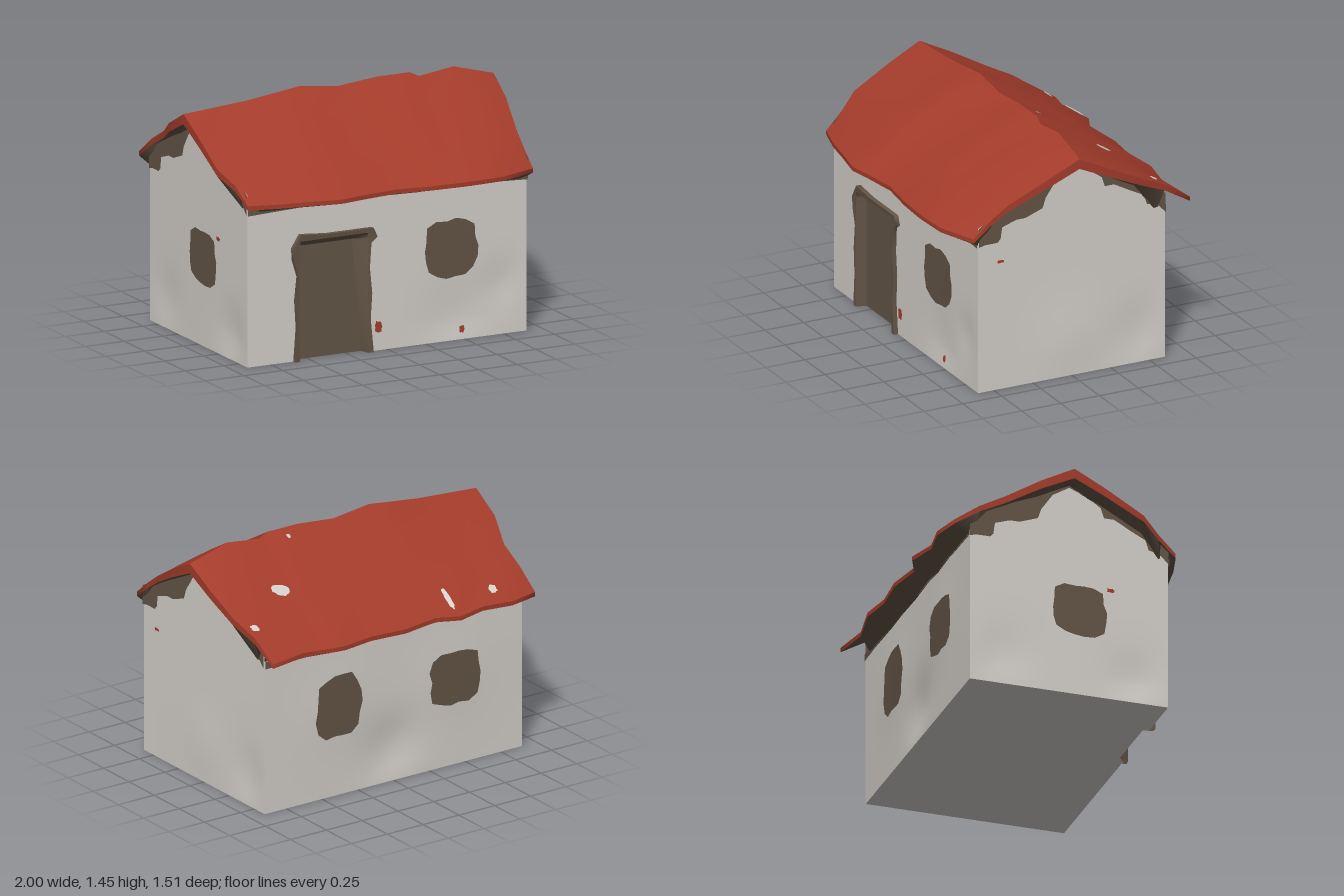
import * as THREE from 'three';

const mat = (name, color, side = THREE.FrontSide) => {
  const m = new THREE.MeshStandardMaterial({ color, side });
  m.name = name;
  return m;
};

// Smooth surface through a grid of points: grid[v][u], u to the right and v up as seen from outside
function patch(name, grid, material) {
  const nu = grid[0].length, index = [];
  for (let v = 0; v < grid.length - 1; v++) {
    for (let u = 0; u < nu - 1; u++) {
      const a = v * nu + u, b = a + 1, d = a + nu, c = d + 1;
      index.push(a, b, c, a, c, d);
    }
  }
  const g = new THREE.BufferGeometry();
  g.setAttribute('position', new THREE.Float32BufferAttribute(grid.flat(2), 3));
  g.setIndex(index);
  g.computeVertexNormals();
  const mesh = new THREE.Mesh(g, material);
  mesh.name = name;
  return mesh;
}

function seeded(seed) {
  return () => (seed = (seed * 16807) % 2147483647) / 2147483647;
}

// Rough-edged patch of size w x h at (cx, cy), laid on a surface given by place(x, y)
function blob(name, [cx, cy, w, h], rough, place, material) {
  const rnd = seeded(Math.round(1000 + cx * 700 + cy * 300)), pts = [], n = 18;
  for (let i = 0; i < n; i++) {
    const t = (i / n) * Math.PI * 2, c = Math.cos(t), s = Math.sin(t);
    const k = Math.pow(c ** 4 + s ** 4, -0.25) * (1 - rough * rnd());
    pts.push(new THREE.Vector2(cx + c * k * w / 2, cy + s * k * h / 2));
  }
  const g = new THREE.ShapeGeometry(new THREE.Shape(pts)), p = g.attributes.position;
  for (let i = 0; i < p.count; i++) p.setXYZ(i, ...place(p.getX(i), p.getY(i)));
  g.computeVertexNormals();
  const mesh = new THREE.Mesh(g, material);
  mesh.name = name;
  return mesh;
}

// Ragged lower line of the brown band under the roof: [a, y]
const GABLE_BAND = [
  [-0.6, 0.9], [-0.56, 0.91], [-0.48, 0.91], [-0.46, 0.93], [-0.45, 1.0], [-0.36, 1.03], [-0.3, 1.03],
  [-0.19, 1.07], [-0.17, 1.13], [-0.1, 1.23], [0, 1.29], [0.12, 1.24], [0.19, 1.19], [0.21, 1.13],
  [0.27, 1.13], [0.38, 1.07], [0.46, 1.03], [0.48, 0.97], [0.55, 0.95], [0.6, 0.9],
];
const EAVE_BAND = [[-0.9, 0.895], [-0.5, 0.91], [-0.15, 0.915], [0.2, 0.905], [0.6, 0.91], [0.9, 0.895]];

// Walls: depth, panels [a0, a1, y0], height rule, soft dents [a, y, radius, depth], windows and flecks [a, y, w, h]
const gableTop = a => 1.335 - 0.53 * Math.abs(a);
const eaveTop = () => 0.94;
const DOOR = { left: -0.58, right: -0.13, top: 0.72, back: 0.565 };
const WALLS = [
  { name: 'front', turn: 0, half: 0.9, d: 0.6, top: eaveTop, band: EAVE_BAND,
    panels: [[-0.9, DOOR.left, 0], [DOOR.left, DOOR.right, DOOR.top], [DOOR.right, 0.9, 0]],
    dents: [[0.45, 0.14, 0.2, -0.012], [0.75, 0.3, 0.13, -0.012]],
    windows: [[0.41, 0.545, 0.35, 0.36]], flecks: [[-0.06, 0.14, 0.05, 0.08], [0.48, 0.06, 0.035, 0.045]] },
  { name: 'right', turn: Math.PI / 2, half: 0.6, d: 0.9, top: gableTop, band: GABLE_BAND,
    panels: [[-0.6, 0.6, 0]],
    dents: [[0.45, 0.2, 0.17, -0.012], [0, 0.25, 0.2, 0.008]],
    windows: [], flecks: [[-0.46, 0.79, 0.045, 0.02]] },
  { name: 'back', turn: Math.PI, half: 0.9, d: 0.6, top: eaveTop, band: EAVE_BAND,
    panels: [[-0.9, 0.9, 0]],
    dents: [[0, 0.22, 0.17, -0.025], [-0.4, 0.55, 0.25, 0.01], [0.4, 0.55, 0.25, 0.01]],
    windows: [[-0.39, 0.55, 0.33, 0.4], [0.42, 0.54, 0.36, 0.35]], flecks: [] },
  { name: 'left', turn: -Math.PI / 2, half: 0.6, d: 0.9, top: gableTop, band: GABLE_BAND,
    panels: [[-0.6, 0.6, 0]],
    dents: [[0.4, 0.15, 0.16, -0.015], [-0.4, 0.2, 0.16, -0.012]],
    windows: [[0.06, 0.53, 0.34, 0.34]], flecks: [[0.25, 0.68, 0.05, 0.03]] },
];

function wallDepth(w, a, y) {
  const edge = Math.min(1, (w.half - Math.abs(a)) / 0.12) * Math.min(1, y / 0.1);
  return w.d + edge * w.dents.reduce((s, [ca, cy, r, k]) =>
    s + k * Math.exp(-((a - ca) ** 2 + (y - cy) ** 2) / (r * r)), 0);
}

// Roof rows, front eave to back eave: [z, y, left end x, right end x]
const ROWS = [
  [0.72, 0.965, -0.92, 0.92], [0.58, 1.075, -0.94, 0.92], [0.45, 1.165, -1, 0.93],
  [0.2, 1.315, -1, 0.98], [0, 1.43, -1, 1], [-0.2, 1.315, -0.99, 1],
  [-0.4, 1.2, -0.92, 0.99], [-0.56, 1.105, -0.92, 0.95], [-0.72, 0.98, -0.92, 0.94],
];
// Roof columns: [x, ridge height, front eave reach, back eave reach]
const COLS = [
  [-1, 1.37, 0.64, 0.7], [-0.8, 1.385, 0.69, 0.74], [-0.6, 1.4, 0.72, 0.71], [-0.4, 1.425, 0.755, 0.76],
  [-0.25, 1.445, 0.73, 0.7], [0, 1.415, 0.7, 0.74], [0.25, 1.44, 0.73, 0.72], [0.46, 1.44, 0.74, 0.75],
  [0.52, 1.41, 0.74, 0.74], [0.74, 1.44, 0.73, 0.7], [1, 1.37, 0.64, 0.74],
];
const N = COLS.length - 1, M = ROWS.length - 1;
const rise = j => (ROWS[j][1] - 0.965) / 0.465;

function roofTop(i, j) {
  const [z, y, x0, x1] = ROWS[j], [cx, ridge, front, back] = COLS[i];
  const reach = z > 0 ? front : back;
  return [
    x0 + (x1 - x0) * (cx + 1) / 2,
    y + (ridge - 1.43) * rise(j),
    z * (1 + (reach / 0.72 - 1) * Math.abs(z) / 0.72),
  ];
}
function roofRim(i, j) {
  const [x, y, z] = roofTop(i, j);
  return [x, y - 0.025 - 0.035 * rise(j), z];
}
// The underside falls from the rim inward to meet the walls, most steeply along the eaves
function roofUnder(i, j) {
  if (i === 0 || j === 0 || i === N || j === M) return roofRim(i, j);
  const [x, , z] = roofTop(i, j);
  const nx = i === 1 ? -0.885 : i === N - 1 ? 0.885 : x;
  const ny = j === 1 || j === M - 1 ? 0.9 : ROWS[j][1] - 0.08 - 0.05 * rise(j);
  return [nx, ny, THREE.MathUtils.clamp(z, -0.585, 0.585)];
}
// Point on the roof at fractional column and row
function onRoof(s, t) {
  const i = Math.floor(s), j = Math.floor(t), u = s - i, v = t - j;
  const p = (a, b) => new THREE.Vector3(...roofTop(a, b));
  const q = p(i, j).lerp(p(i + 1, j), u).lerp(p(i, j + 1).lerp(p(i + 1, j + 1), u), v);
  return [q.x, q.y + 0.008, q.z - 0.004];
}

export function createModel() {
  const plaster = mat('plaster', 0xd5d1cb);
  const tile = mat('red roof', 0xa43c2b, THREE.DoubleSide);
  const wood = mat('dark wood', 0x645547, THREE.DoubleSide);
  const model = new THREE.Group();
  model.name = 'cottage';

  // Walls with windows, red flecks and the brown band under the roof
  for (const w of WALLS) {
    const side = new THREE.Group();
    side.name = w.name + 'Side';
    for (const [a0, a1, y0] of w.panels) {
      const n = 20, grid = [];
      for (let v = 0; v <= n; v++) {
        grid.push([]);
        for (let u = 0; u <= n; u++) {
          const a = a0 + (a1 - a0) * u / n, y = y0 + (w.top(a) - y0) * v / n;
          grid[v].push([a, y, wallDepth(w, a, y)]);
        }
      }
      side.add(patch(w.name + 'Wall', grid, plaster));
    }
    const lay = (a, y) => [a, y, wallDepth(w, a, y) + 0.008];
    for (const r of w.windows) side.add(blob(w.name + 'Window', r, 0.13, lay, wood));
    for (const r of w.flecks) side.add(blob(w.name + 'Fleck', r, 0.3, lay, tile));
    side.add(patch(w.name + 'Band', [
      w.band.map(([a, y]) => lay(a, y)),
      w.band.map(([a]) => lay(a, w.top(a))),
    ], wood));
    side.rotation.y = w.turn;
    model.add(side);
  }

  // Floor, notched at the doorway
  const V = (x, y) => new THREE.Vector2(x, y);
  const floor = new THREE.Mesh(new THREE.ShapeGeometry(new THREE.Shape([
    V(-0.9, -0.6), V(0.9, -0.6), V(0.9, 0.6), V(DOOR.right, 0.6), V(-0.15, DOOR.back),
    V(-0.56, DOOR.back), V(DOOR.left, 0.6), V(-0.9, 0.6),
  ])).rotateX(Math.PI / 2), plaster);
  floor.name = 'floor';
  model.add(floor);

  // Doorway: a ragged frame standing proud of the wall, jambs leading in, and a recessed door
  const frame = [
    [-0.1, 0], [-0.12, 0.2], [-0.11, 0.35], [-0.125, 0.5], [-0.115, 0.65], [-0.075, 0.68], [-0.1, 0.735],
    [-0.4, 0.735], [-0.57, 0.75], [-0.62, 0.67], [-0.615, 0.6], [-0.585, 0.5], [-0.6, 0.36], [-0.59, 0.2], [-0.605, 0],
  ];
  const inset = frame.map(([x, y]) => [
    THREE.MathUtils.clamp(x, -0.575, -0.135), Math.min(y, 0.71), 0.625]);
  const inner = frame.map(([x, y]) => [
    x > -0.3 ? -0.15 - 0.06 * y / 0.7 : Math.max(x, -0.56), Math.min(y, 0.67), DOOR.back]);
  model.add(
    patch('doorFrameEdge', [frame.map(p => [...p, 0.595]), frame.map(p => [...p, 0.628])], wood),
    patch('doorFrame', [frame.map(p => [...p, 0.628]), inset], wood),
    patch('doorJambs', [inset, inner], wood),
    patch('door', [
      [[-0.56, 0, DOOR.back], [-0.15, 0, DOOR.back]],
      [[-0.56, 0.67, DOOR.back], [-0.207, 0.67, DOOR.back]],
    ], wood),
  );

  // Roof: two slopes meeting at the ridge, a rim round the edge, and soffits back to the walls
  const roof = new THREE.Group();
  roof.name = 'roof';
  const grid = (fn, i0, i1, j0, j1) => {
    const out = [];
    for (let j = j0; j <= j1; j++) {
      out.push([]);
      for (let i = i0; i <= i1; i++) out[j - j0].push(fn(i, j));
    }
    return out;
  };
  roof.add(patch('frontSlope', grid(roofTop, 0, N, 0, 4), tile));
  roof.add(patch('backSlope', grid(roofTop, 0, N, 4, M), tile));
  const ring = [];
  for (let i = 0; i < N; i++) ring.push([i, 0]);
  for (let j = 0; j < M; j++) ring.push([N, j]);
  for (let i = N; i > 0; i--) ring.push([i, M]);
  for (let j = M; j >= 0; j--) ring.push([0, j]);
  roof.add(patch('roofRim', [ring.map(p => roofRim(...p)), ring.map(p => roofTop(...p))], tile));
  for (const span of [[0, N, 0, 1], [0, N, M - 1, M], [0, 1, 1, M - 1], [N - 1, N, 1, M - 1]]) {
    roof.add(patch('soffit', grid(roofUnder, ...span).reverse(), wood));
  }

  // Pale worn spots on the back slope: [column, row, width, height]
  for (const r of [[3.13, 7.42, 0.25, 0.75], [8.4, 5.75, 0.55, 0.4], [1.4, 7.5, 0.28, 0.32], [9.8, 6.7, 0.2, 0.3], [6.5, 4.3, 0.12, 0.15]]) {
    roof.add(blob('wornSpot', r, 0.3, onRoof, plaster));
  }
  model.add(roof);

  return model;
}
